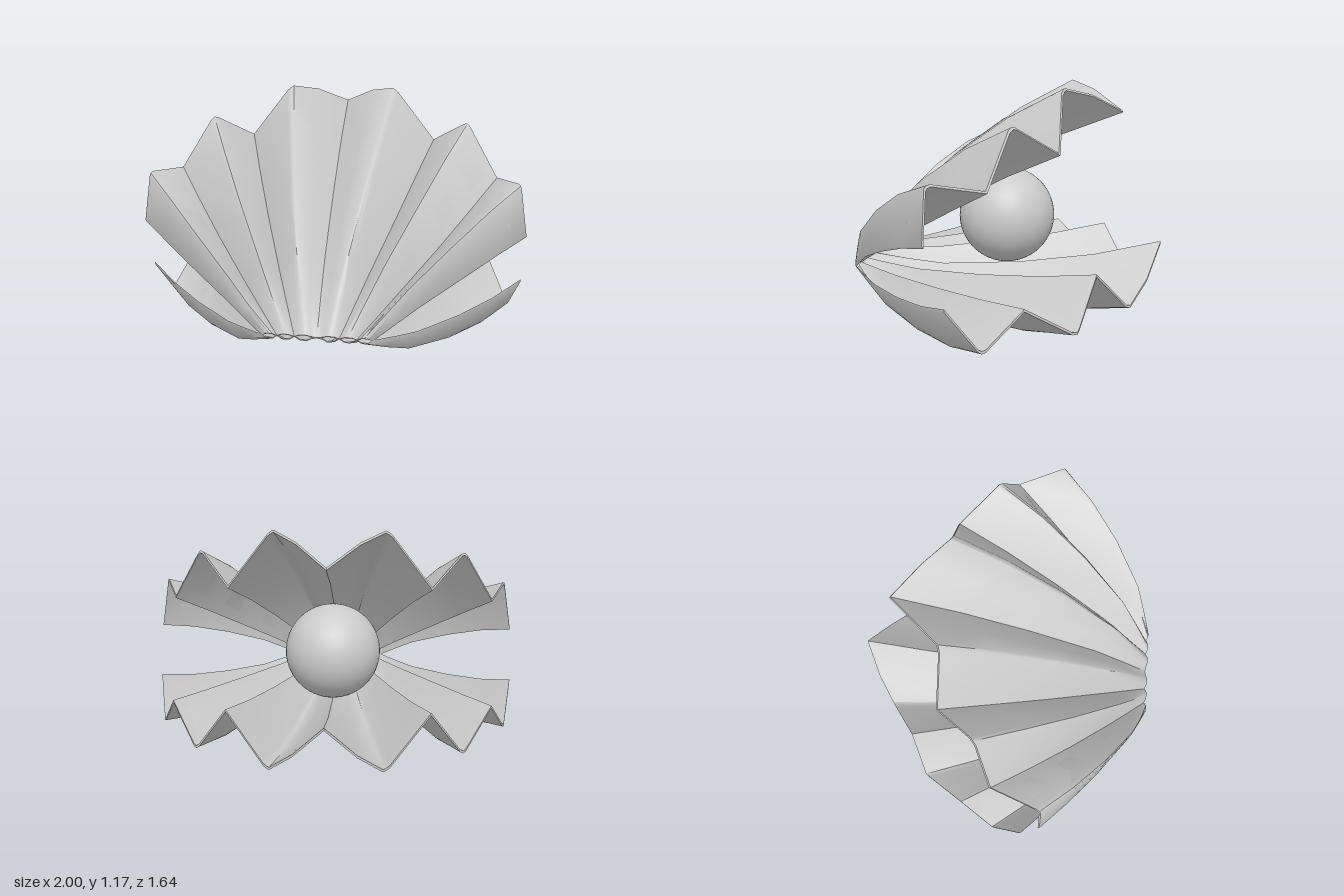
import * as THREE from 'three';
import { toCreasedNormals } from 'three/addons/utils/BufferGeometryUtils.js';

const HINGE = new THREE.Vector3(0, 0.2, 0.805);
const OPENING = THREE.MathUtils.degToRad(35.2);

// Fan lines of one half: hinge x, hinge drop, rim x, rim height and reach from the hinge, sag
const fold = (hx, hy, x, y, z, sag, ridge) => ({ hx, hy, x, y: y - HINGE.y, z: z - HINGE.z, sag, ridge });
const HALF = [
  fold(0, -0.002, 0, 0.32, -0.82, 0.92, false),
  fold(0.03, -0.01, 0.155, 0.155, -0.75, 1, false),
  fold(0.064, -0.02, 0.29, 0.05, -0.66, 1.06, true),
  fold(0.107, -0.002, 0.515, 0.28, -0.5, 0.45, false),
  fold(0.15, -0.02, 0.69, 0.047, -0.42, 1, true),
  fold(0.19, -0.002, 0.855, 0.21, -0.19, 0.15, false),
  fold(0.227, -0.02, 0.955, 0.037, -0.01, 1.02, true),
  fold(0.265, -0.002, 1, 0.243, 0.15, 0.5, false),
];

// Stations from hinge to rim, with the bulge of the shell at each
const STATIONS = [[0, 0], [0.13, 0.048], [0.26, 0.088], [0.53, 0.095], [0.78, 0.066], [1, 0]];

// Position on one fan line at a station
function along(f, t, bulge) {
  const x = f.hx + (f.x - f.hx) * t + 0.02 * Math.sin(Math.PI * t) * f.x;
  return new THREE.Vector3(x, f.hy * (1 - t) + f.y * t - f.sag * bulge, f.z * t);
}

// Outer cross-section at a station: mirrored fan, each ridge rounded by two shoulders
function section(t, bulge) {
  const mirrored = HALF.slice(1).reverse().map((f) => ({ ...f, x: -f.x, hx: -f.hx }));
  const fan = [...mirrored, ...HALF];
  const points = fan.map((f) => along(f, t, bulge));
  const width = 1 / THREE.MathUtils.lerp(2.2, 11, t); // shoulders keep a near constant width
  const shoulder = (i, side) => {
    const p = points[i].clone().lerp(points[i + side], width);
    p.y -= 0.006 + 0.005 * t;
    return p;
  };
  return points.flatMap((p, i) => (fan[i].ridge ? [shoulder(i, -1), p, shoulder(i, 1)] : [p]));
}

// Loft a thin closed shell; side = -1 turns it over for the upper half
function shellGeometry(side) {
  const pos = [];
  const index = [];
  const tri = (a, b, c) => (side > 0 ? index.push(a, b, c) : index.push(a, c, b));

  let n;
  for (const [t, bulge] of STATIONS) {
    const outer = section(t, bulge);
    const thickness = 0.006 + 0.008 * t;
    n = outer.length;
    for (const p of outer) pos.push(p.x, side * p.y, p.z);
    for (const p of outer.reverse()) pos.push(p.x, side * (p.y + thickness), p.z);
  }
  const ring = 2 * n;
  // Outer, inner and side walls
  for (let j = 0; j < STATIONS.length - 1; j++) {
    for (let k = 0; k < ring; k++) {
      const a = j * ring + k;
      const b = j * ring + ((k + 1) % ring);
      tri(a, a + ring, b);
      tri(b, a + ring, b + ring);
    }
  }
  // Hinge edge and rim edge
  const last = (STATIONS.length - 1) * ring;
  for (let i = 0; i < n - 1; i++) {
    const inner = ring - 1 - i;
    tri(i, i + 1, inner);
    tri(i + 1, inner - 1, inner);
    tri(last + i, last + inner, last + i + 1);
    tri(last + i + 1, last + inner, last + inner - 1);
  }
  const geo = new THREE.BufferGeometry();
  geo.setAttribute('position', new THREE.Float32BufferAttribute(pos, 3));
  geo.setIndex(index);
  return toCreasedNormals(geo, 0.8);
}

export function createModel() {
  const group = new THREE.Group();
  group.name = 'openClam';
  const shellMaterial = new THREE.MeshStandardMaterial({ color: 0xcccccc, side: THREE.DoubleSide });

  const lower = new THREE.Mesh(shellGeometry(1), shellMaterial);
  lower.name = 'lowerShell';
  lower.position.copy(HINGE);

  const upper = new THREE.Mesh(shellGeometry(-1), shellMaterial);
  upper.name = 'upperShell';
  upper.position.copy(HINGE);
  upper.rotation.x = OPENING;

  const pearl = new THREE.Mesh(
    new THREE.SphereGeometry(0.26, 48, 32),
    new THREE.MeshStandardMaterial({ color: 0xcccccc })
  );
  pearl.name = 'pearl';
  pearl.position.set(0, 0.455, 0.02);

  group.add(lower, upper, pearl);
  return group;
}
